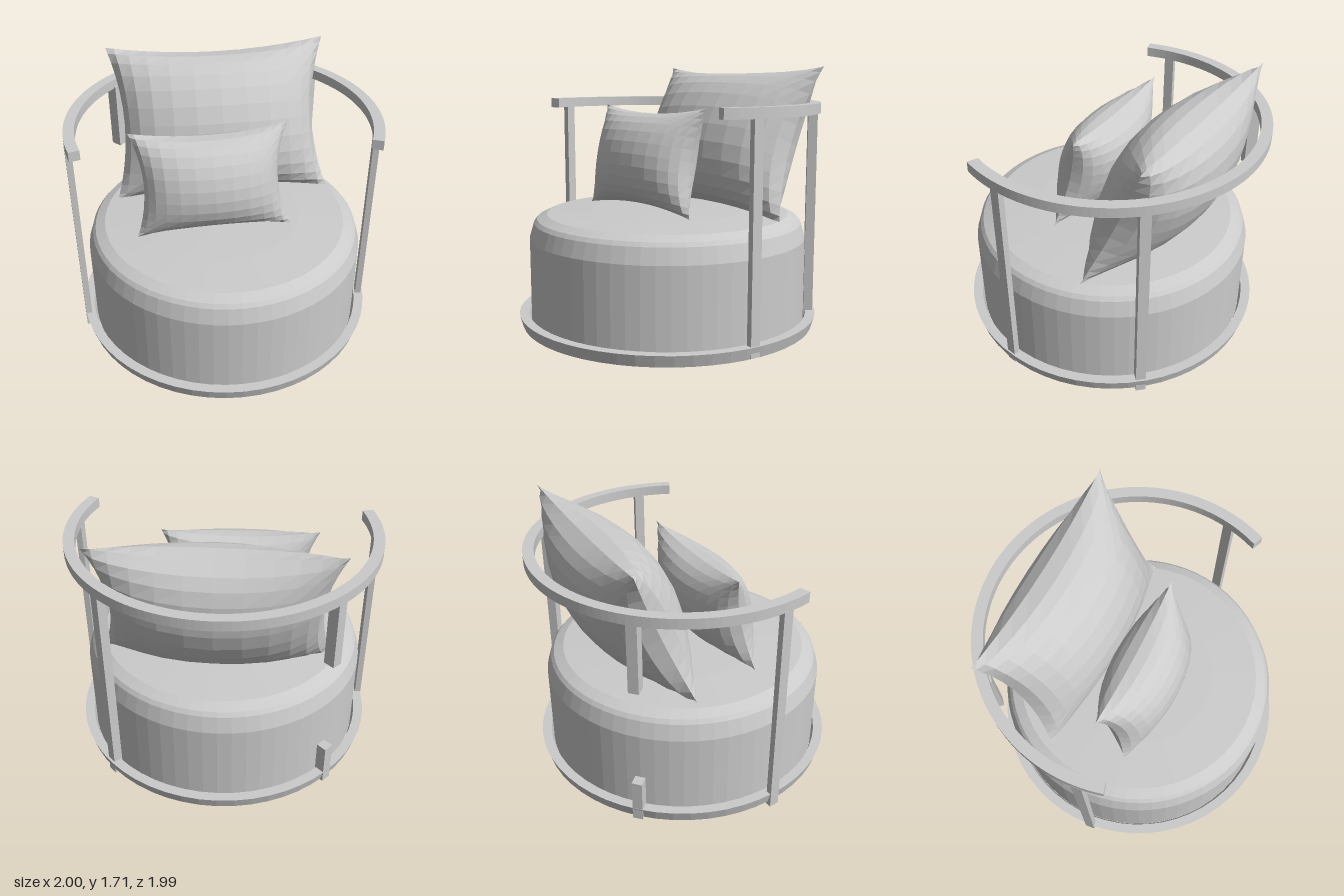
import * as THREE from 'three';
import { mergeGeometries } from 'three/addons/utils/BufferGeometryUtils.js';

const material = new THREE.MeshStandardMaterial({ color: 0xcccccc, flatShading: true, side: THREE.DoubleSide });

function add(parent, name, geometry) {
  const mesh = new THREE.Mesh(geometry, material);
  mesh.name = name;
  parent.add(mesh);
  return mesh;
}

const lathe = (points, segments) =>
  new THREE.LatheGeometry(points.map(([r, y]) => new THREE.Vector2(r, y)), segments);

// Two bulging sheets joined at a seam, pinched between the corners.
// u and v are half-edge vectors, t is the half thickness.
function pillow(parent, name, centre, u, v, t, pinch) {
  const U = new THREE.Vector3(...u), V = new THREE.Vector3(...v);
  const N = new THREE.Vector3().crossVectors(U, V).normalize();
  const frame = new THREE.Matrix4().makeBasis(U, V, N).setPosition(...centre);
  const sides = [1, -1].map((side) => {
    const g = new THREE.PlaneGeometry(2, 2, 12, 12);
    if (side < 0) g.rotateY(Math.PI);
    const p = g.attributes.position;
    for (let i = 0; i < p.count; i++) {
      const a = Math.sin(p.getX(i) * 1.35) / Math.sin(1.35);
      const b = Math.sin(p.getY(i) * 1.35) / Math.sin(1.35);
      const bulge = Math.pow(Math.max(0, (1 - a * a) * (1 - b * b)), 0.58);
      p.setXYZ(i,
        a * (1 - pinch * (1 - b * b) * a * a),
        b * (1 - pinch * (1 - a * a) * b * b),
        side * t * bulge);
    }
    return g;
  });
  const geometry = mergeGeometries(sides).applyMatrix4(frame);
  geometry.computeVertexNormals();
  add(parent, name, geometry);
}

// Flat bar standing on the rim and turned to face outward
function post(parent, name, x, z, y0, y1, depth = 0.04) {
  const mesh = add(parent, name, new THREE.BoxGeometry(0.065, y1 - y0, depth));
  mesh.position.set(x, (y0 + y1) / 2, z);
  mesh.rotation.y = Math.atan2(x, z);
}

export function createModel() {
  const model = new THREE.Group();
  model.name = 'roundArmchair';

  // Drum seat with a softly rounded top edge
  add(model, 'seat', lathe([
    [0, 0.02], [0.9, 0.02], [0.915, 0.05], [0.915, 0.6], [0.885, 0.7],
    [0.865, 0.725], [0.8, 0.755], [0.5, 0.772], [0, 0.78],
  ], 64));

  // Slanted ring around the foot of the seat
  add(model, 'baseRing', lathe([
    [0.915, 0.035], [0.972, 0.025], [0.993, 0.1], [0.93, 0.1], [0.915, 0.035],
  ], 56));

  // Arm and back rail, open at the front
  const a0 = THREE.MathUtils.degToRad(-68), a1 = THREE.MathUtils.degToRad(151.5);
  const arc = new THREE.Shape();
  arc.absarc(0, 0, 0.995, a0, a1, false);
  arc.absarc(0, 0, 0.925, a1, a0, true);
  const rail = new THREE.ExtrudeGeometry(arc, { depth: 0.065, bevelEnabled: false, curveSegments: 40 });
  rail.rotateX(-Math.PI / 2).translate(0, 1.42, 0);
  add(model, 'rail', rail);

  // Posts; the back one is in two short pieces
  post(model, 'frontPost', 0.56, 0.78, 0.03, 1.43);
  post(model, 'sidePost', 0.947, 0.025, 0, 1.43, 0.06);
  post(model, 'rearPost', -0.77, -0.6, 0, 1.43);
  post(model, 'backPostUpper', 0, -0.95, 0.97, 1.43, 0.075);
  post(model, 'backPostLower', 0, -0.955, 0.02, 0.3, 0.07);

  // Cushions leaning back to the rail
  pillow(model, 'largePillow', [0.35, 1.225, -0.315], [0.515, 0.005, 0.525], [0.14, 0.48, -0.145], 0.31, 0.12);
  pillow(model, 'smallPillow', [-0.145, 1.11, 0.01], [0.362, 0.003, 0.347], [0.05, 0.34, -0.063], 0.22, 0.14);

  return model;
}
